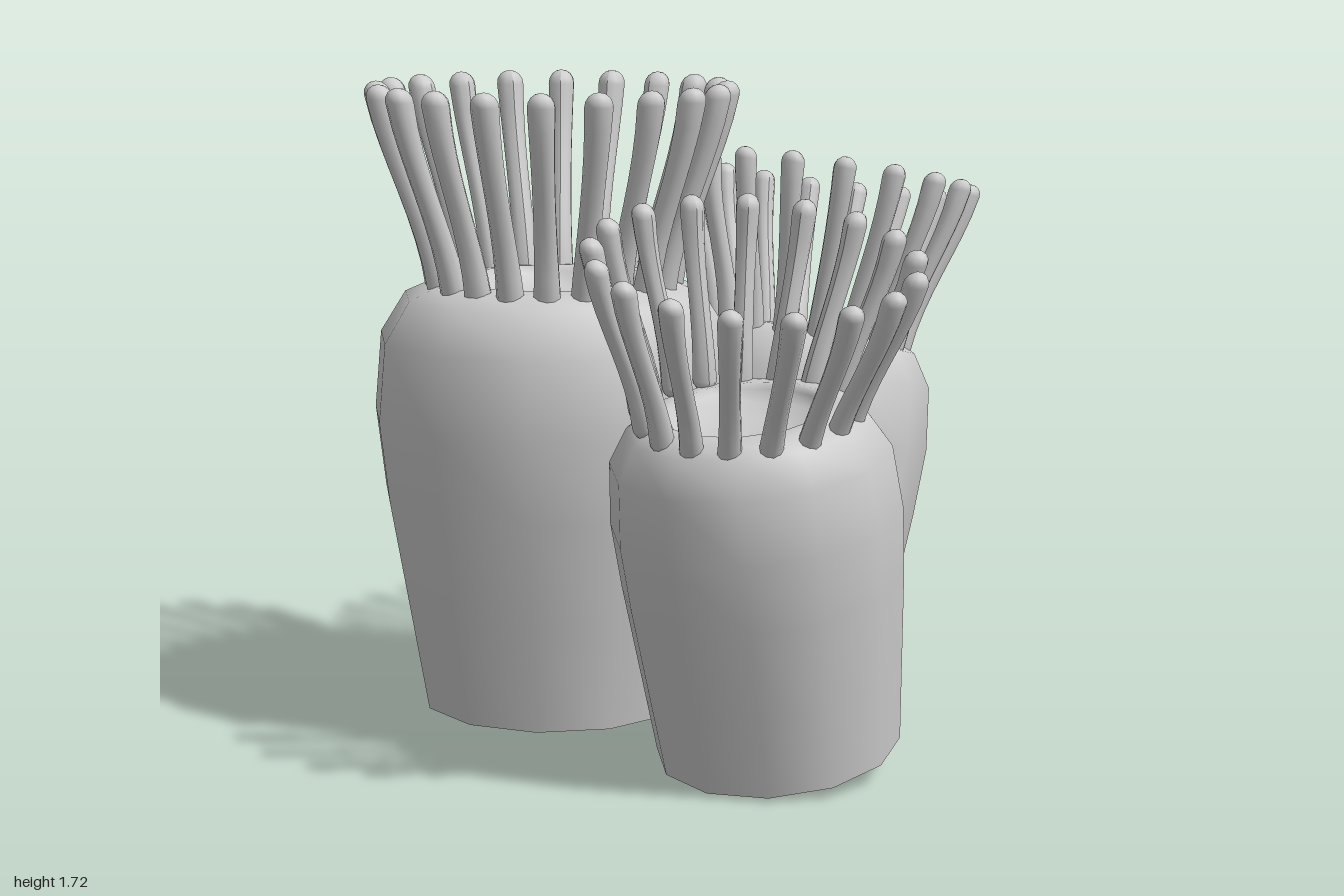
import * as THREE from 'three';

const skin = new THREE.MeshStandardMaterial({ color: 0xcccccc, side: THREE.DoubleSide });
skin.name = 'pale grey';

// Barrel-shaped stalk, open underneath, with a dished mouth on top
function makeStalk({ base, belly, rim, height }) {
  const profile = [
    [base, 0],
    [base + (belly - base) * 0.4, height * 0.25],
    [base + (belly - base) * 0.8, height * 0.5],
    [belly, height * 0.69],
    [belly * 0.96, height * 0.87],
    [belly * 0.82, height * 0.965],
    [rim + (belly - rim) * 0.35, height * 0.995],
    [rim * 1.1, height],
    [rim, height * 0.985],
    [rim * 0.94, height * 0.95],
    [rim * 0.5, height * 0.93],
    [0, height * 0.925],
  ].map(([r, y]) => new THREE.Vector2(r, y));
  const mesh = new THREE.Mesh(new THREE.LatheGeometry(profile, 12), skin);
  mesh.name = 'stalk';
  return mesh;
}

// Capsule bent outward along an S-curve and slightly thicker at its foot
function makeTentacleGeometry(length, reach, radius) {
  const geometry = new THREE.CapsuleGeometry(radius, length - 2 * radius, 4, 10, 8);
  geometry.translate(0, length / 2, 0);
  const p = geometry.attributes.position;
  for (let i = 0; i < p.count; i++) {
    const t = THREE.MathUtils.clamp(p.getY(i) / length, 0, 1);
    const width = 1 - 0.22 * Math.sin(Math.PI * t);
    const bend = reach * (0.35 * t + 0.65 * t * t * (3 - 2 * t));
    p.setX(i, p.getX(i) * width + bend);
    p.setZ(i, p.getZ(i) * width);
  }
  geometry.computeVertexNormals();
  return geometry;
}

function makePolyp(spec) {
  const polyp = new THREE.Group();
  polyp.name = spec.name;
  polyp.add(makeStalk(spec));

  // Ring of tentacles around the mouth
  const crown = new THREE.Group();
  crown.name = 'tentacleCrown';
  crown.position.y = spec.height;
  crown.rotation.x = spec.crownTilt;
  const sink = 0.06;
  const geometry = makeTentacleGeometry(spec.tentacle + sink, spec.tipRing - spec.rootRing, spec.thickness);
  for (let i = 0; i < spec.count; i++) {
    const a = spec.startAngle + (i / spec.count) * Math.PI * 2;
    const tentacle = new THREE.Mesh(geometry, skin);
    tentacle.name = 'tentacle';
    tentacle.position.set(Math.cos(a) * spec.rootRing, -sink, Math.sin(a) * spec.rootRing);
    tentacle.rotation.y = -a;
    crown.add(tentacle);
  }
  polyp.add(crown);

  polyp.position.set(...spec.position);
  polyp.rotation.z = spec.tilt;
  return polyp;
}

export function createModel() {
  const model = new THREE.Group();
  model.name = 'polypCluster';
  const polyps = [
    {
      name: 'backPolyp', position: [-0.31, 0.07, -0.38], tilt: 0, crownTilt: 0,
      base: 0.37, belly: 0.49, rim: 0.235, height: 1.14,
      count: 20, startAngle: 0, rootRing: 0.3, tipRing: 0.46, tentacle: 0.52, thickness: 0.038,
    },
    {
      name: 'leftPolyp', position: [0.2, 0.075, -0.055], tilt: -0.22, crownTilt: 0,
      base: 0.31, belly: 0.375, rim: 0.195, height: 0.96,
      count: 18, startAngle: 0, rootRing: 0.26, tipRing: 0.405, tentacle: 0.455, thickness: 0.033,
    },
    {
      name: 'frontPolyp', position: [-0.31, 0.06, 0.345], tilt: 0.16, crownTilt: 0.18,
      base: 0.315, belly: 0.37, rim: 0.195, height: 0.91,
      count: 17, startAngle: 0.09, rootRing: 0.255, tipRing: 0.4, tentacle: 0.42, thickness: 0.033,
    },
  ];
  for (const spec of polyps) model.add(makePolyp(spec));
  return model;
}
